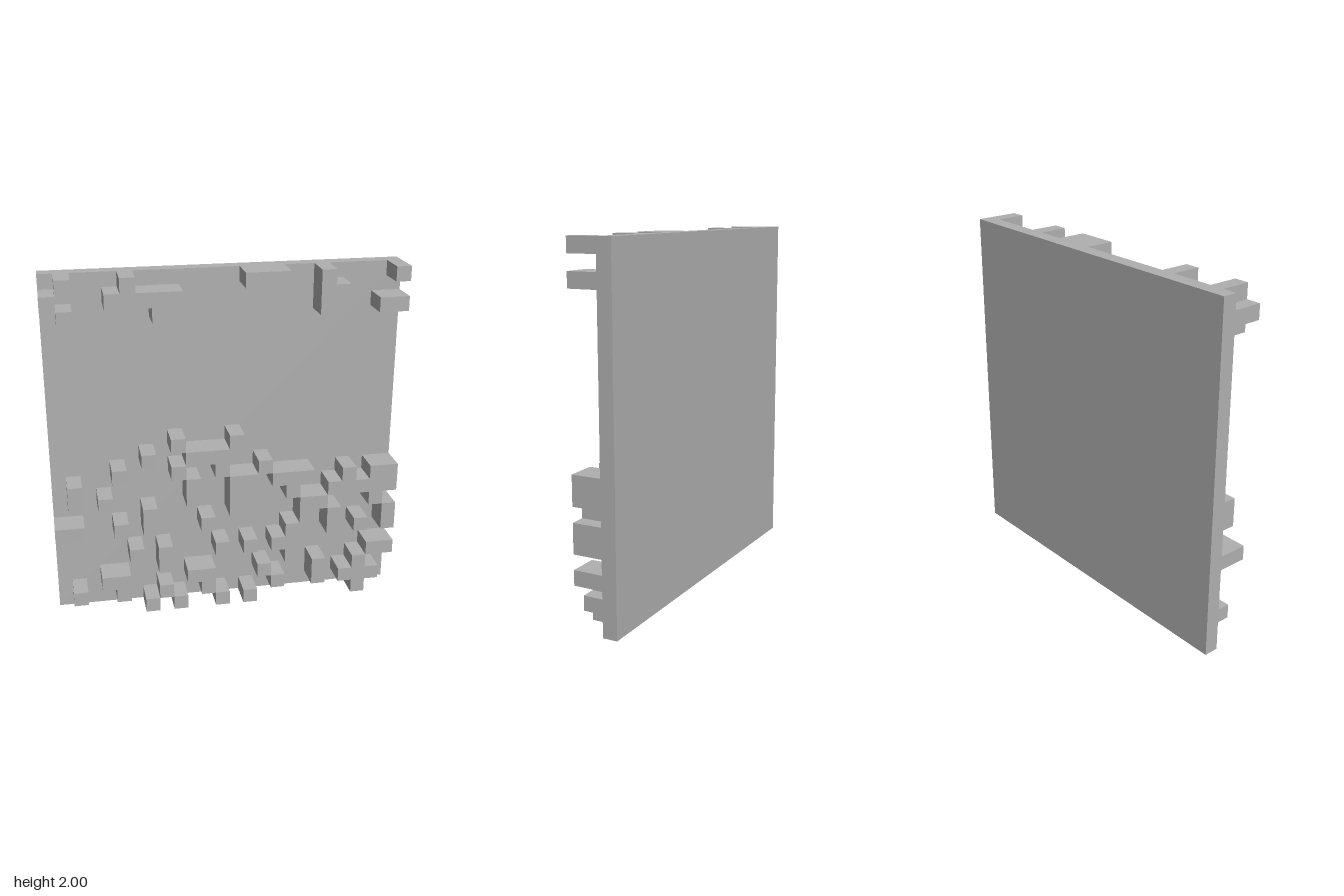
import * as THREE from 'three';

const CELL = 2 / 24; // the panel is a 24 x 24 grid
const BACK = -1.5 * CELL; // back plane of the panel
const grey = new THREE.MeshStandardMaterial({ color: 0xb0b0b0 });
grey.name = 'grey';

// Box on the grid: column and row of its lower left cell, width and height in cells
function gridBox(name, [col, row, w = 1, h = 1], z, depth) {
  const mesh = new THREE.Mesh(new THREE.BoxGeometry(w * CELL, h * CELL, depth * CELL), grey);
  mesh.position.set(-1 + (col + w / 2) * CELL, (row + h / 2) * CELL, z + (depth / 2) * CELL);
  mesh.name = name;
  return mesh;
}

// Raised blocks as [column, row, width, height]
const RELIEF = {
  topFringe: [
    [1, 23], [0, 22], [1, 21],
    [5, 23], [4, 22, 5, 1], [7, 21],
    [13, 23, 3, 1],
    [18, 21, 1, 3], [19, 22],
    [23, 23], [22, 21, 2, 1],
  ],
  upperBlocks: [
    [8, 12], [12, 11, 1, 2], [9, 11, 3, 1], [11, 10], [8, 10], [9, 8, 1, 2],
    [6, 11], [4, 10], [1, 8, 1, 2], [3, 8], [14, 10], [12, 7, 2, 3],
    [15, 9, 3, 1], [16, 8], [20, 9], [19, 8, 3, 1], [22, 8, 2, 2],
  ],
  middleBlocks: [
    [0, 6, 2, 1], [4, 6], [6, 6, 1, 2], [10, 6],
    [5, 4], [7, 3, 1, 2], [11, 4], [13, 4],
    [17, 5, 1, 3], [18, 7], [16, 5], [15, 4, 2, 1], [16, 3],
    [19, 5, 1, 2], [21, 5], [22, 7], [23, 5, 1, 2], [22, 3, 2, 1],
  ],
  bottomBlocks: [
    [1, 1], [3, 2, 2, 1], [4, 1],
    [6, 0], [7, 1], [8, 0], [9, 2, 2, 1], [10, 1], [11, 0], [13, 0],
    [14, 2], [15, 1], [18, 1, 1, 2],
    [21, 0, 1, 3], [20, 1], [22, 1],
  ],
};

export function createModel() {
  const model = new THREE.Group();
  model.name = 'reliefPanel';

  // Flat backing, one cell thick
  model.add(gridBox('backPanel', [0, 0, 24, 24], BACK, 1));

  // Blocks standing two cells out of the backing
  for (const [name, blocks] of Object.entries(RELIEF)) {
    const group = new THREE.Group();
    group.name = name;
    for (const block of blocks) group.add(gridBox('raisedBlock', block, BACK + CELL, 2));
    model.add(group);
  }
  return model;
}
